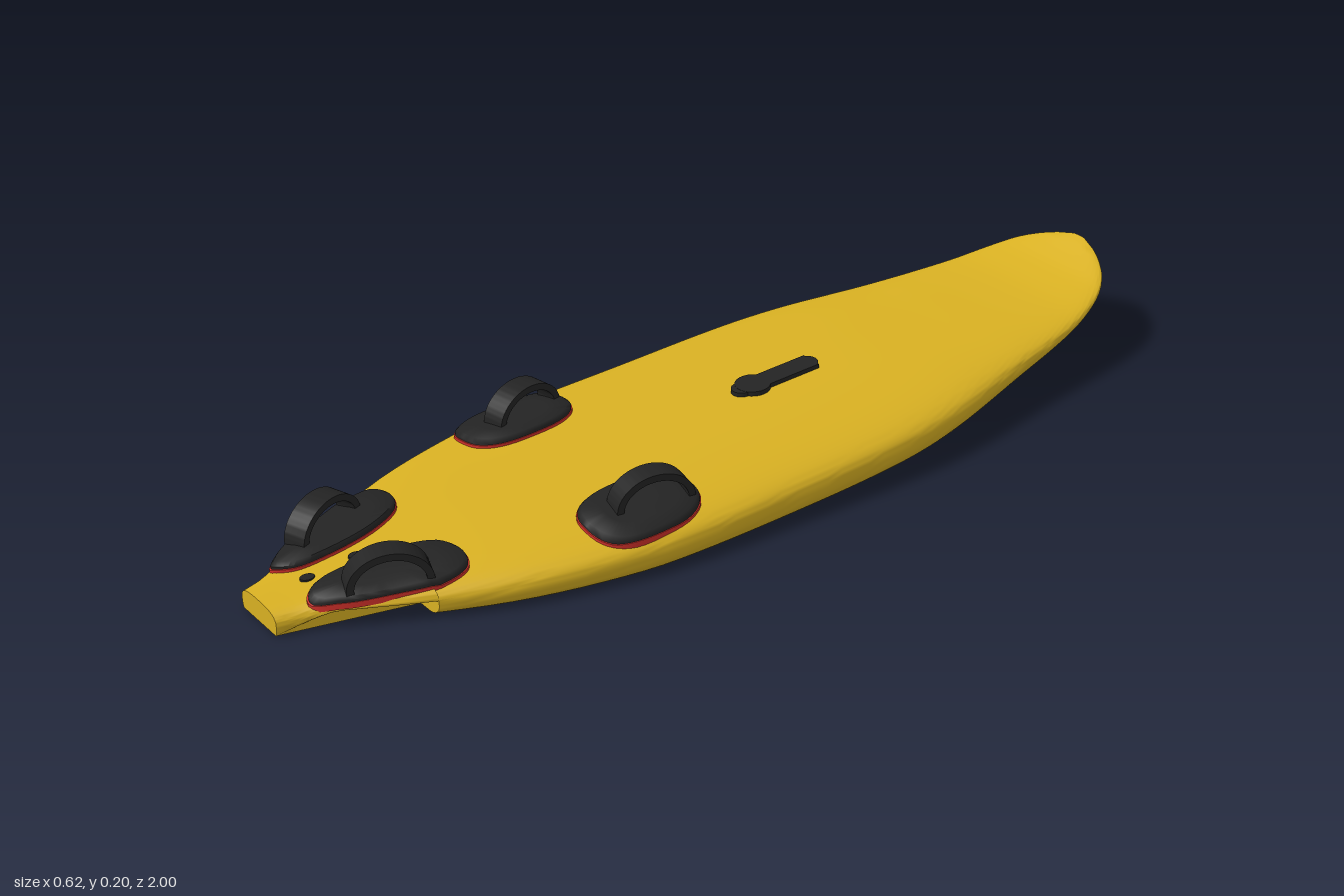
import * as THREE from 'three';
import { toCreasedNormals } from 'three/addons/utils/BufferGeometryUtils.js';

const yellow = new THREE.MeshStandardMaterial({ color: 0xd8b022 }); yellow.name = 'yellow';
const black = new THREE.MeshStandardMaterial({ color: 0x232323 }); black.name = 'black';
const red = new THREE.MeshStandardMaterial({ color: 0xd0302a }); red.name = 'red';

// Hull stations: z, half width, bottom, deck height on the centreline
const STATIONS = [
  [-1, 0.022, 0.194, 0.205], [-0.985, 0.07, 0.176, 0.199], [-0.95, 0.125, 0.155, 0.183],
  [-0.9, 0.162, 0.132, 0.164], [-0.8, 0.197, 0.1, 0.145], [-0.6, 0.241, 0.062, 0.136],
  [-0.4, 0.288, 0.036, 0.13], [-0.25, 0.306, 0.022, 0.124], [0, 0.309, 0.008, 0.113],
  [0.3, 0.306, 0.002, 0.099], [0.45, 0.283, 0.001, 0.09], [0.6, 0.243, 0.001, 0.081],
  [0.74, 0.185, 0.001, 0.069], [0.85, 0.13, 0.001, 0.059], [0.94, 0.082, 0.001, 0.051],
  [1, 0.063, 0.001, 0.047],
];
const STEP_Z = 0.74;

// Smooth interpolation between stations
function station(z) {
  let i = 0;
  while (i < STATIONS.length - 2 && z > STATIONS[i + 1][0]) i++;
  const a = STATIONS[i], b = STATIONS[i + 1];
  const p = STATIONS[Math.max(i - 1, 0)], n = STATIONS[Math.min(i + 2, STATIONS.length - 1)];
  const d = b[0] - a[0], t = (z - a[0]) / d, t2 = t * t, t3 = t2 * t;
  return [1, 2, 3].map((k) => {
    const ma = ((b[k] - p[k]) / (b[0] - p[0])) * d;
    const mb = ((n[k] - a[k]) / (n[0] - a[0])) * d;
    return (2 * t3 - 3 * t2 + 1) * a[k] + (t3 - 2 * t2 + t) * ma + (3 * t2 - 2 * t3) * b[k] + (t3 - t2) * mb;
  });
}

// Section dimensions; the stepped tail has a keel block with raised sides
function section(z, stepped) {
  const [w, b, t] = station(z);
  const step = stepped ? 0.032 * Math.min(1, (1 - z) / 0.1) : 0;
  const keel = stepped ? 0.12 - (0.062 * (z - STEP_Z)) / (1 - STEP_Z) : Math.min(0.12, w * 0.6);
  return { w, b, t, step, keel, mid: b + Math.max((t - b) * 0.4, step ? step + 0.006 : 0) };
}

// Height of the domed deck
function deckY(x, z) {
  const s = section(z, z > STEP_Z);
  const u = Math.min(Math.abs(x) / s.w, 0.93);
  return s.mid + (s.t - s.mid) * Math.cbrt(1 - u ** 3);
}

// Skin over rings of equal length, closed with a fan at each end
function loft(rings, crease) {
  const n = rings[0].length, pos = rings.flat().flatMap((v) => v.toArray()), index = [];
  for (let i = 0; i < rings.length - 1; i++) {
    for (let j = 0; j < n; j++) {
      const a = i * n + j, b = i * n + ((j + 1) % n);
      index.push(a, b, a + n, b, b + n, a + n);
    }
  }
  [0, rings.length - 1].forEach((r, end) => {
    const c = new THREE.Vector3();
    rings[r].forEach((v) => c.addScaledVector(v, 1 / n));
    const id = pos.length / 3;
    pos.push(...c.toArray());
    for (let j = 0; j < n; j++) {
      const a = r * n + j, b = r * n + ((j + 1) % n);
      if (end) index.push(id, a, b); else index.push(id, b, a);
    }
  });
  const g = new THREE.BufferGeometry();
  g.setAttribute('position', new THREE.Float32BufferAttribute(pos, 3));
  g.setIndex(index);
  return toCreasedNormals(g, crease);
}

function hullRing(z, stepped) {
  const s = section(z, stepped), half = [[0, s.b], [s.keel, s.b], [s.keel, s.b + s.step]];
  const rail = Math.min(0.035, (s.w - s.keel) * 0.9), low = s.b + s.step;
  for (let i = 0; i <= 8; i++) {
    const a = (i / 8) * Math.PI / 2;
    half.push([s.w - rail + rail * Math.sin(a), s.mid - (s.mid - low) * Math.cos(a)]);
  }
  for (let i = 1; i <= 22; i++) {
    const a = (i / 22) * Math.PI / 2;
    const x = i === 22 ? 0 : Math.cos(a) ** (2 / 3);
    half.push([s.w * x, s.mid + (s.t - s.mid) * Math.sin(a) ** (2 / 3)]);
  }
  const other = half.slice(1, -1).reverse().map(([x, y]) => [-x, y]);
  return [...half, ...other].map(([x, y]) => new THREE.Vector3(x, y, z));
}

function hullGeometry() {
  const rings = [];
  // Stations are packed closer towards the nose
  for (let i = 0; i <= 60; i++) rings.push(hullRing(-1 + (1 + STEP_Z) * (i / 60) ** 1.5, false));
  for (let i = 0; i <= 14; i++) rings.push(hullRing(STEP_Z + (1 - STEP_Z) * (i / 14), true));
  return loft(rings, 0.7);
}

// Pad layer that follows the deck; layers are [scale, height above deck]
function padGeometry(outline, side, layers) {
  const curve = new THREE.CatmullRomCurve3(outline.map(([x, z]) => new THREE.Vector3(x * side, 0, z)), true);
  const pts = curve.getPoints(48).slice(0, -1);
  if (side > 0) pts.reverse();
  const c = new THREE.Vector3();
  pts.forEach((p) => c.addScaledVector(p, 1 / pts.length));
  return loft(layers.map(([k, h]) => pts.map((p) => {
    const v = p.clone().sub(c).multiplyScalar(k).add(c);
    v.y = deckY(v.x, v.z) + h;
    return v;
  })), 0.9);
}

// Arched strap, spanning the local x axis
function strapGeometry(span, height, width) {
  const s = new THREE.Shape(), thick = 0.014;
  s.moveTo(span, -0.012);
  s.lineTo(span, 0);
  s.absellipse(0, 0, span, height, 0, Math.PI, false, 0);
  s.lineTo(-span, -0.012);
  s.lineTo(-span + thick, -0.012);
  s.lineTo(-span + thick, 0);
  s.absellipse(0, 0, span - thick, height - thick, Math.PI, 0, true, 0);
  s.lineTo(span - thick, -0.012);
  const g = new THREE.ExtrudeGeometry(s, { depth: width, bevelEnabled: false, curveSegments: 20 });
  return toCreasedNormals(g.translate(0, 0, -width / 2), 0.6);
}

const REAR_PAD = [[0.13, 0.65], [0.168, 0.665], [0.175, 0.72], [0.15, 0.8], [0.113, 0.89],
  [0.07, 0.938], [0.037, 0.91], [0.03, 0.83], [0.045, 0.73], [0.08, 0.665]];
const FRONT_PAD = Array.from({ length: 20 }, (_, i) => {
  const a = (i / 20) * Math.PI * 2, p = (v) => Math.sign(v) * Math.abs(v) ** 0.75;
  return [0.21 + 0.08 * p(Math.cos(a)), 0.32 + 0.12 * p(Math.sin(a))];
});

export function createModel() {
  const model = new THREE.Group();
  model.name = 'board';
  const add = (name, geometry, material, parent = model) => {
    const m = new THREE.Mesh(geometry, material);
    m.name = name;
    parent.add(m);
    return m;
  };

  add('hull', hullGeometry(), yellow);

  // Foot pads with straps, mirrored on both sides
  const sets = [
    { name: 'front', outline: FRONT_PAD, at: [0.215, 0.295], dir: [-0.03, 0.16], top: 0.167 },
    { name: 'rear', outline: REAR_PAD, at: [0.116, 0.8], dir: [-0.05, 0.14], top: 0.137 },
  ];
  for (const set of sets) {
    for (const side of [1, -1]) {
      const group = new THREE.Group();
      group.name = set.name + (side > 0 ? 'LeftFootPad' : 'RightFootPad');
      model.add(group);
      add('padBase', padGeometry(set.outline, side, [[1, -0.006], [1, 0.006], [0.9, 0.006]]), red, group);
      add('padTop', padGeometry(set.outline, side,
        [[0.98, 0.004], [0.98, 0.011], [0.92, 0.017], [0.6, 0.018], [0.25, 0.018]]), black, group);
      const [x, z] = set.at, base = deckY(x, z) + 0.012;
      const strap = add('strap', strapGeometry(0.08, set.top - base, 0.048), black, group);
      strap.position.set(x * side, base, z);
      strap.rotation.y = Math.atan2(-set.dir[1], set.dir[0] * side);
    }
  }

  // Mast track on the deck
  const track = new THREE.Group();
  track.name = 'mastTrack';
  model.add(track);
  const tilt = Math.atan2(deckY(0, -0.27) - deckY(0, -0.06), 0.21);
  track.position.set(0, deckY(0, -0.165) + 0.003, -0.165);
  track.rotation.x = tilt;
  add('trackBar', new THREE.BoxGeometry(0.048, 0.012, 0.17), black, track).position.z = -0.01;
  add('trackEnd', new THREE.CylinderGeometry(0.024, 0.024, 0.012, 24), black, track).position.z = -0.082;
  add('trackFoot', new THREE.CylinderGeometry(0.036, 0.036, 0.013, 32), black, track).position.z = 0.055;
  add('trackTip', new THREE.CylinderGeometry(0.022, 0.022, 0.012, 24), black, track).position.z = 0.082;

  // Fin screws on the tail and the fin slot below
  for (const z of [0.8, 0.9]) {
    const screw = add('finScrew', new THREE.CylinderGeometry(0.011, 0.011, 0.006, 20), black);
    screw.scale.z = 1.3;
    screw.position.set(0, deckY(0, z), z);
  }
  add('finSlot', new THREE.BoxGeometry(0.022, 0.004, 0.17), black).position.set(0, 0.002, 0.85);

  return model;
}
